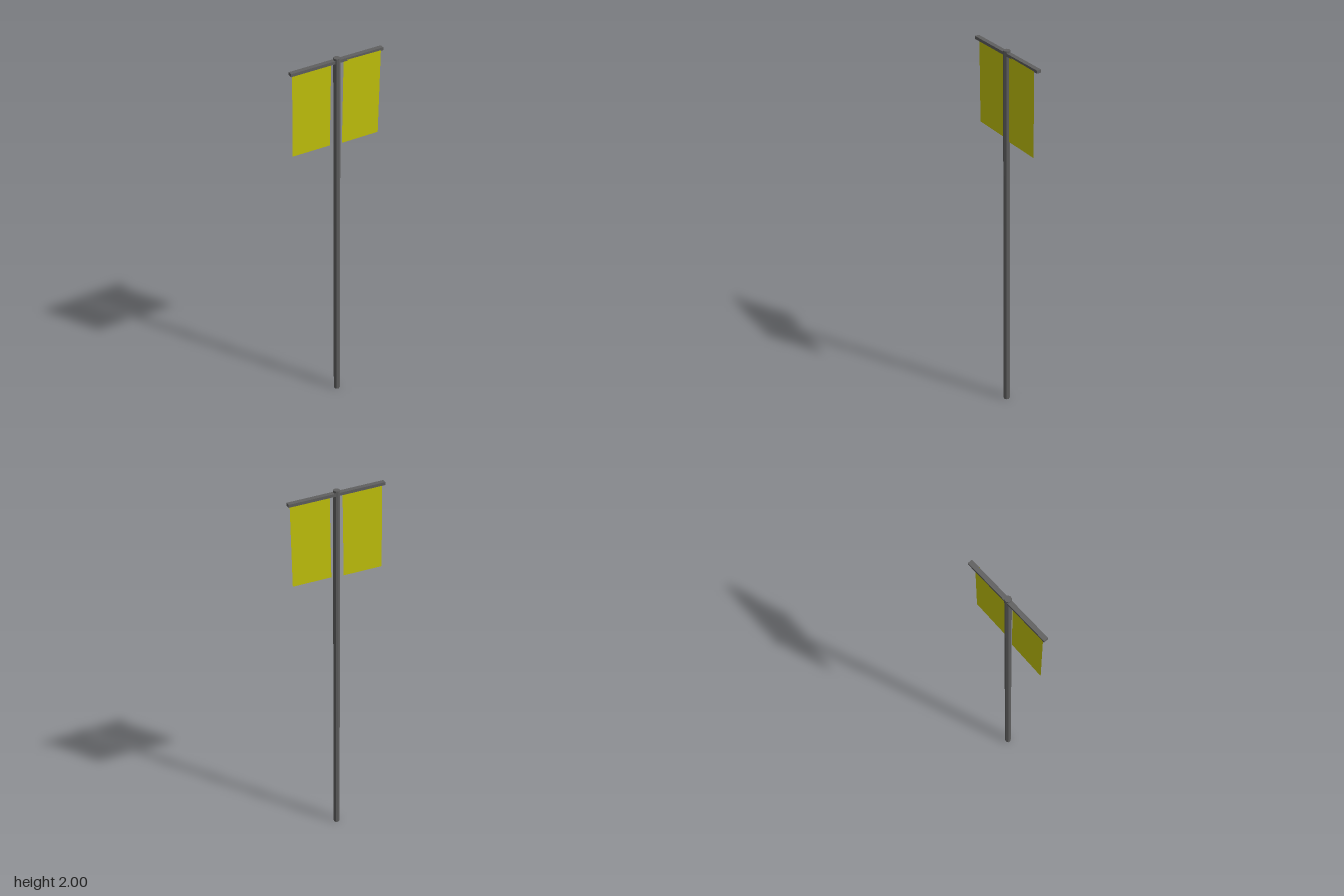
import * as THREE from 'three';

const metal = new THREE.MeshStandardMaterial({ color: 0x606060, flatShading: true });
const cloth = new THREE.MeshStandardMaterial({ color: 0xc4c40c, side: THREE.DoubleSide });

// Flat cloth panel hung between two top points [x, z], its lower edge swung slightly sideways
function banner(name, [x0, z0], [x1, z1]) {
  const top = 1.98, bottom = 1.54, swing = -0.007;
  const geometry = new THREE.PlaneGeometry(1, 1);
  const p = geometry.attributes.position;
  for (let i = 0; i < p.count; i++) {
    const u = p.getX(i) + 0.5, v = p.getY(i) + 0.5;
    p.setXYZ(
      i,
      THREE.MathUtils.lerp(x0, x1, u) + swing * (1 - v),
      THREE.MathUtils.lerp(bottom, top, v),
      THREE.MathUtils.lerp(z0, z1, u)
    );
  }
  geometry.computeVertexNormals();
  const mesh = new THREE.Mesh(geometry, cloth);
  mesh.name = name;
  return mesh;
}

export function createModel() {
  const group = new THREE.Group();
  group.name = 'bannerPole';

  // Octagonal pole
  const pole = new THREE.Mesh(new THREE.CylinderGeometry(0.0165, 0.0165, 2, 8), metal);
  pole.name = 'pole';
  pole.position.y = 1;
  pole.rotation.y = 0.15;
  group.add(pole);

  // Diagonal crossbar near the top
  const bar = new THREE.Mesh(new THREE.BoxGeometry(0.489, 0.015, 0.023), metal);
  bar.name = 'crossbar';
  bar.position.set(-0.001, 1.982, -0.002);
  bar.rotation.y = 0.78;
  group.add(bar);

  // One banner on each side of the pole
  group.add(
    banner('rightBanner', [-0.168, 0.157], [-0.022, 0.02]),
    banner('leftBanner', [0.028, -0.015], [0.172, -0.152])
  );
  return group;
}
